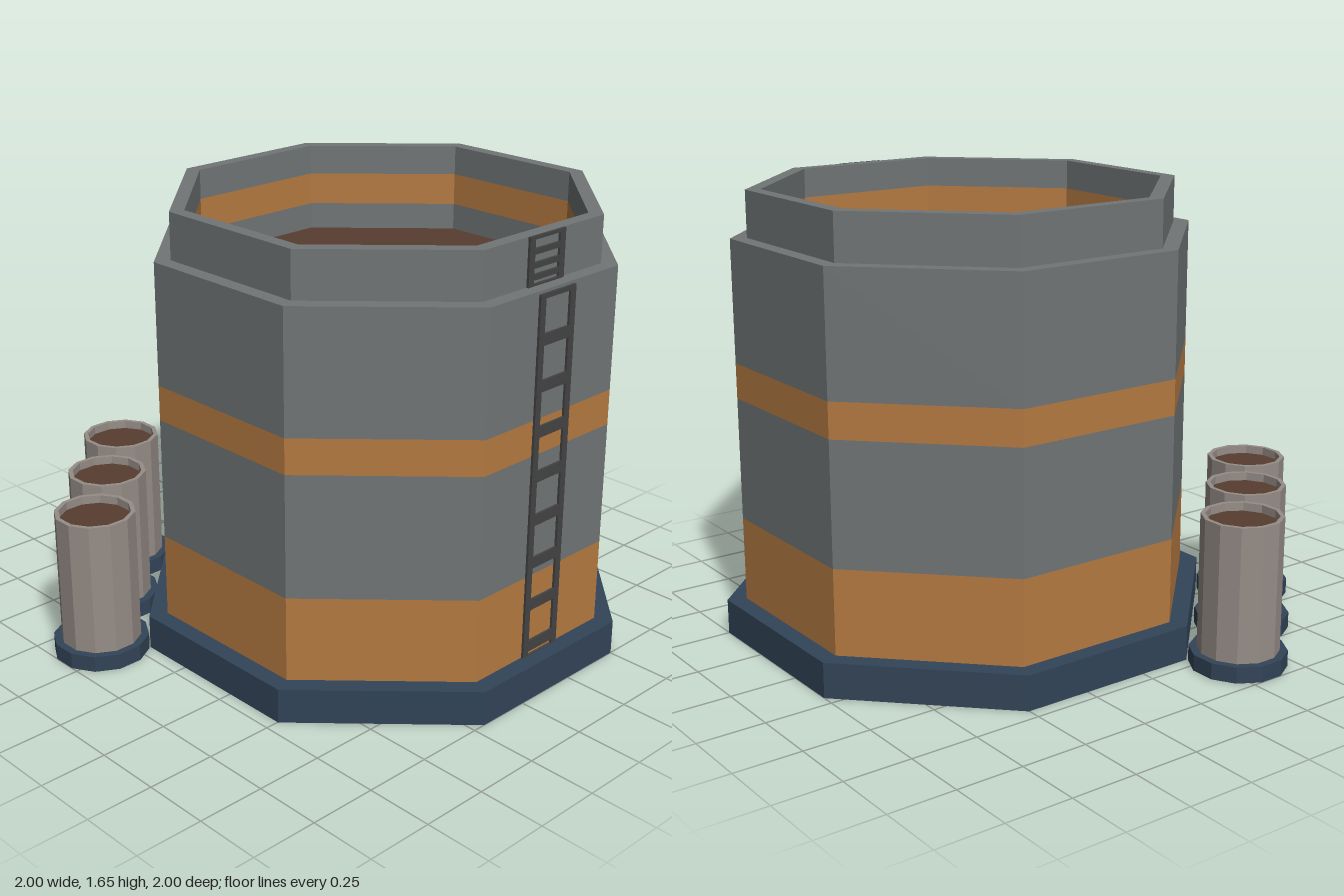
import * as THREE from 'three';

const material = (name, color) => {
  const m = new THREE.MeshStandardMaterial({ color });
  m.name = name;
  return m;
};

// Faceted ring or solid from a profile of [flat-to-centre distance, height], outside running upward
function facetedLathe(profile, sides) {
  const k = 1 / Math.cos(Math.PI / sides);
  const pts = profile.map(([r, y]) => new THREE.Vector2(r * k, y));
  const g = new THREE.LatheGeometry(pts, sides, Math.PI / sides).toNonIndexed();
  g.computeVertexNormals();
  return g;
}

// Ladder plate with a row of rectangular openings
function ladderGeometry(bottom, top, holes) {
  const rect = (T, x, y0, y1) => {
    const s = new T();
    s.moveTo(-x, y0);
    s.lineTo(x, y0);
    s.lineTo(x, y1);
    s.lineTo(-x, y1);
    s.closePath();
    return s;
  };
  const shape = rect(THREE.Shape, 0.09, bottom, top);
  for (const [y0, y1] of holes) shape.holes.push(rect(THREE.Path, 0.063, y0, y1));
  return new THREE.ExtrudeGeometry(shape, { depth: 0.009, bevelEnabled: false });
}

export function createModel() {
  const gray = material('wall gray', 0x717575);
  const orange = material('band orange', 0xb57a41);
  const navy = material('base navy', 0x324458);
  const brown = material('soil brown', 0x573e30);
  const pipeGray = material('pipe warm gray', 0x968d87);
  const dark = material('ladder dark gray', 0x434343);

  const model = new THREE.Group();
  const add = (parent, name, geometry, mat) => {
    const mesh = new THREE.Mesh(geometry, mat);
    mesh.name = name;
    parent.add(mesh);
    return mesh;
  };

  // Octagonal tank
  const tank = new THREE.Group();
  tank.name = 'tank';
  tank.position.set(0.15, 0, 0.15);
  model.add(tank);
  const part = (name, profile, mat) => add(tank, name, facetedLathe(profile, 8), mat);

  part('base', [[0, 0], [0.85, 0], [0.85, 0.13], [0, 0.13]], navy);

  // Outer wall in alternating bands
  const R = 0.785;
  part('lowerBand', [[R, 0.13], [R, 0.445]], orange);
  part('lowerWall', [[R, 0.445], [R, 0.9]], gray);
  part('middleBand', [[R, 0.9], [R, 1.03]], orange);
  part('upperWall', [[R, 1.03], [R, 1.48], [0.73, 1.48]], gray);

  // Stepped rim and inside wall
  part('rim', [[0.73, 1.48], [0.73, 1.65], [0.68, 1.65], [0.68, 1.54]], gray);
  part('innerBand', [[0.68, 1.54], [0.68, 1.42]], orange);
  part('innerWall', [[0.68, 1.42], [0.68, 1.32]], gray);
  part('tankFill', [[0.68, 1.32], [0, 1.32]], brown);

  // Ladders on the front wall and rim
  const holes = [[0.133, 0.148]];
  for (let i = 0; i < 8; i++) holes.push([0.19 + i * 0.163, 0.312 + i * 0.163]);
  add(tank, 'lowerLadder', ladderGeometry(0.13, 1.47, holes), dark).position.z = 0.786;
  const rimHoles = [[1.487, 1.5], [1.52, 1.54], [1.56, 1.587], [1.607, 1.638]];
  add(tank, 'rimLadder', ladderGeometry(1.48, 1.65, rimHoles), dark).position.z = 0.731;

  // Three open pipes along the back right side
  [[-0.83, -0.325], [-0.585, -0.58], [-0.33, -0.83]].forEach(([x, z], i) => {
    const pipe = new THREE.Group();
    pipe.name = 'pipe' + (i + 1);
    pipe.position.set(x, 0, z);
    model.add(pipe);
    add(pipe, 'pipeBase', facetedLathe([[0, 0], [0.17, 0], [0.17, 0.06], [0, 0.06]], 12), navy);
    add(pipe, 'pipeWall', facetedLathe([[0.142, 0.06], [0.142, 0.56], [0.126, 0.56], [0.126, 0.53]], 12), pipeGray);
    add(pipe, 'pipeFill', facetedLathe([[0.126, 0.53], [0, 0.53]], 12), brown);
  });

  return model;
}
